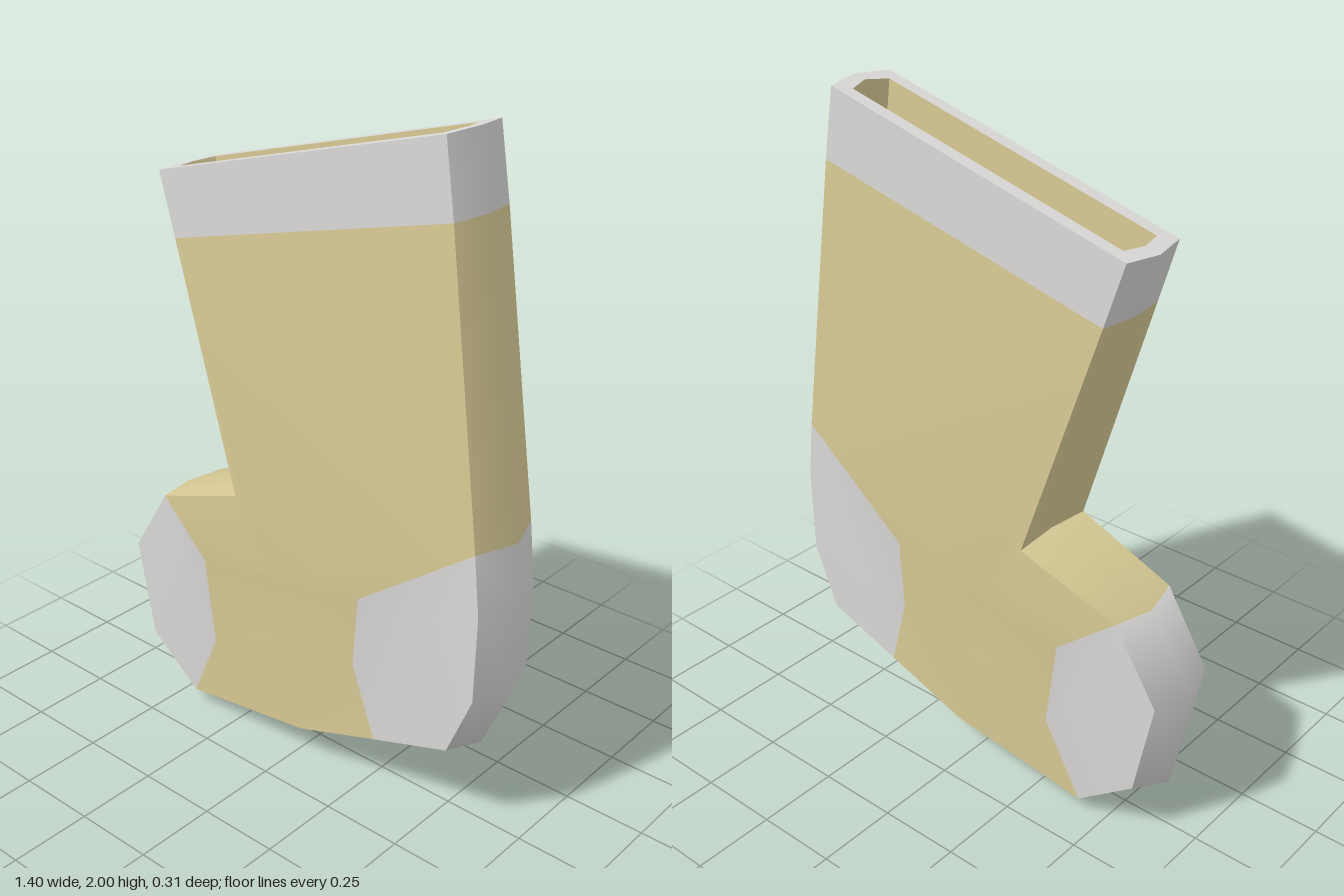
import * as THREE from 'three';
import { toCreasedNormals } from 'three/addons/utils/BufferGeometryUtils.js';

// Outline, counter-clockwise from the top left: centre seam x, y, then face edge x, y, half thickness
const OUTLINE = [
  [-0.52, 1.73, -0.5, 1.735, 0.112],    // 0 opening, toe side
  [-0.456, 1.55, -0.441, 1.55, 0.117],  // 1 cuff edge
  [-0.2, 0.83, -0.205, 0.823, 0.142],   // 2 ankle bend
  [-0.555, 0.705, -0.525, 0.71, 0.127], // 3 instep
  [-0.705, 0.48, -0.665, 0.49, 0.124],  // 4 toe tip
  [-0.645, 0.15, -0.605, 0.185, 0.124], // 5 toe underside
  [-0.445, 0, -0.42, 0.045, 0.127],     // 6 ball
  [0.04, 0.08, 0.04, 0.115, 0.137],     // 7 sole
  [0.315, 0.17, 0.32, 0.207, 0.132],    // 8 heel patch start
  [0.605, 0.265, 0.575, 0.29, 0.128],   // 9 heel corner
  [0.695, 0.47, 0.655, 0.485, 0.128],   // 10 heel back, low
  [0.7, 0.74, 0.66, 0.75, 0.128],       // 11 heel back, high
  [0.685, 0.93, 0.64, 0.93, 0.127],     // 12 heel patch end
  [0.548, 1.79, 0.523, 1.785, 0.115],   // 13 cuff edge
  [0.515, 2.0, 0.49, 1.993, 0.112],     // 14 opening, heel side
];

// Points inside the padded face (indices 15 to 20)
const FACE = [
  [-0.34, 0.56, 0.145], [-0.305, 0.285, 0.143], // toe patch edge
  [0.265, 0.66, 0.144], [0.25, 0.44, 0.145],    // heel patch edge
  [-0.08, 0.62, 0.155], [-0.08, 0.4, 0.155],    // fullest part of the foot
];

// Inner pocket in the same layout
const POCKET = [
  [-0.475, 1.742, -0.46, 1.745, 0.07],
  [-0.145, 0.79, -0.148, 0.78, 0.085],
  [-0.53, 0.655, -0.5, 0.66, 0.085],
  [-0.655, 0.47, -0.62, 0.475, 0.08],
  [-0.605, 0.18, -0.57, 0.205, 0.08],
  [-0.435, 0.05, -0.41, 0.09, 0.085],
  [0.04, 0.13, 0.04, 0.16, 0.09],
  [0.57, 0.305, 0.545, 0.325, 0.085],
  [0.645, 0.48, 0.61, 0.49, 0.085],
  [0.65, 0.74, 0.615, 0.75, 0.085],
  [0.635, 0.93, 0.6, 0.93, 0.083],
  [0.475, 1.99, 0.45, 1.983, 0.07],
];

// Which faces and which rim strips belong to each coloured part
const PARTS = [
  { name: 'cuff', trim: true, faces: [[0, 1, 13, 14]], strips: [0, 13] },
  { name: 'body', trim: false, strips: [1, 2, 6, 7, 12],
    faces: [[1, 2, 19, 17, 12, 13], [2, 3, 15, 16, 20, 18, 17, 19], [16, 6, 7, 8, 18, 20]] },
  { name: 'toePatch', trim: true, faces: [[3, 4, 5, 6, 16, 15]], strips: [3, 4, 5] },
  { name: 'heelPatch', trim: true, faces: [[8, 9, 10, 11, 12, 17, 18]], strips: [8, 9, 10, 11] },
];

const front = (p) => [p[2], p[3], p[4]];
const seam = (p) => [p[0], p[1], 0];
const mirrorZ = ([x, y, z]) => [x, y, -z];
const back = (p) => mirrorZ(front(p));

function quad(out, a, b, c, d) {
  out.push(...a, ...b, ...c, ...a, ...c, ...d);
}

// A polygon on the front face together with its mirror image on the back
function bothFaces(out, polygon) {
  const flat = polygon.map(([x, y]) => new THREE.Vector2(x, y));
  for (const [i, j, k] of THREE.ShapeUtils.triangulateShape(flat, [])) {
    const [a, b, c] = [polygon[i], polygon[j], polygon[k]];
    out.push(...a, ...b, ...c, ...mirrorZ(a), ...mirrorZ(c), ...mirrorZ(b));
  }
}

// Two bevelled quads that join the front and back faces along one outline edge
function rimStrip(out, p, q) {
  quad(out, seam(p), seam(q), front(q), front(p));
  quad(out, back(p), back(q), seam(q), seam(p));
}

function geometryFrom(positions) {
  const geometry = new THREE.BufferGeometry();
  geometry.setAttribute('position', new THREE.Float32BufferAttribute(positions, 3));
  return geometry;
}

const smooth = (geometry) => toCreasedNormals(geometry, Math.PI / 3);

export function createModel() {
  const group = new THREE.Group();
  group.name = 'stocking';
  const knit = new THREE.MeshStandardMaterial({ color: 0xd9cb96 });
  knit.name = 'tan knit';
  const trim = new THREE.MeshStandardMaterial({ color: 0xd9d8d7 });
  trim.name = 'pale grey trim';

  const add = (name, geometry, material) => {
    const mesh = new THREE.Mesh(geometry, material);
    mesh.name = name;
    group.add(mesh);
  };

  // Outer shell: smoothed as a whole, then cut into coloured parts
  const points = [...OUTLINE.map(front), ...FACE];
  const shell = [];
  const ends = PARTS.map(({ faces, strips }) => {
    for (const face of faces) bothFaces(shell, face.map((i) => points[i]));
    for (const i of strips) rimStrip(shell, OUTLINE[i], OUTLINE[i + 1]);
    return shell.length;
  });
  const normals = smooth(geometryFrom(shell)).getAttribute('normal').array;
  PARTS.forEach(({ name, trim: isTrim }, i) => {
    const start = i ? ends[i - 1] : 0;
    const geometry = geometryFrom(shell.slice(start, ends[i]));
    geometry.setAttribute('normal',
      new THREE.Float32BufferAttribute(normals.slice(start, ends[i]), 3));
    add(name, geometry, isTrim ? trim : knit);
  });

  // Flat lip around the opening
  const mouth = (line) => {
    const p = line[0], q = line[line.length - 1];
    return [front(p), seam(p), back(p), back(q), seam(q), front(q)];
  };
  const outer = mouth(OUTLINE), inner = mouth(POCKET);
  const lip = [];
  outer.forEach((o, i) => {
    const j = (i + 1) % outer.length;
    quad(lip, o, inner[i], inner[j], outer[j]);
  });
  add('openingLip', smooth(geometryFrom(lip)), trim);

  // Hollow lining, turned to face inwards
  const lining = [];
  bothFaces(lining, POCKET.map(front));
  for (let i = 0; i < POCKET.length - 1; i++) rimStrip(lining, POCKET[i], POCKET[i + 1]);
  const inward = [];
  for (let i = 0; i < lining.length; i += 9) {
    inward.push(...lining.slice(i, i + 3), ...lining.slice(i + 6, i + 9), ...lining.slice(i + 3, i + 6));
  }
  add('lining', smooth(geometryFrom(inward)), knit);

  return group;
}
